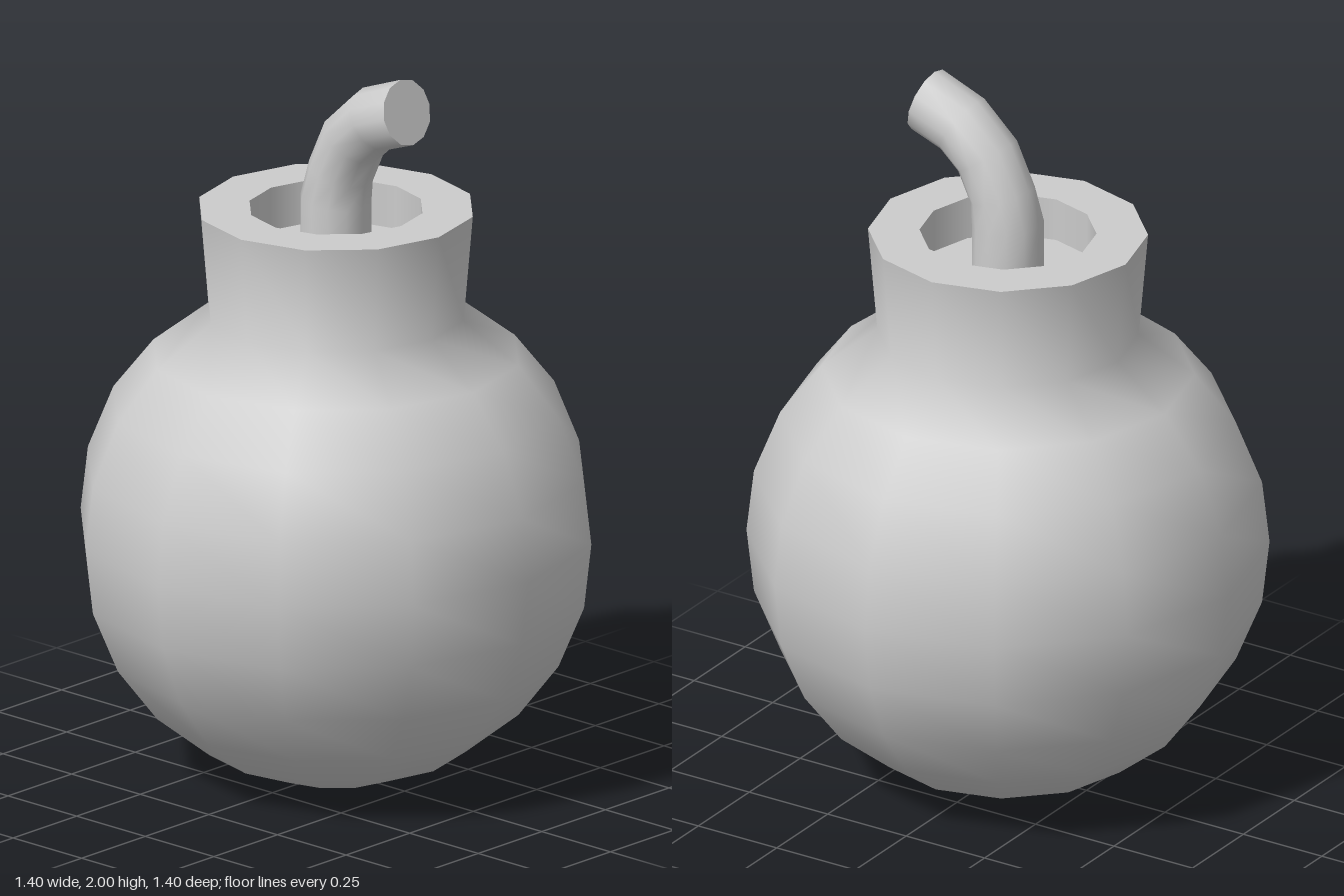
import * as THREE from 'three';

const SIDES = 12;
const material = new THREE.MeshStandardMaterial({ color: 0xcccccc });

function lathe(name, profile) {
  const points = profile.map(([r, y]) => new THREE.Vector2(r, y));
  const mesh = new THREE.Mesh(new THREE.LatheGeometry(points, SIDES), material);
  mesh.name = name;
  return mesh;
}

// Bent fuse: rings of [z, y, lean towards +z, radius], joined smoothly
function createFuse() {
  const rings = [
    [0, 1.46, 0, 0.097],
    [0, 1.615, 0.1, 0.097],
    [0.018, 1.697, 0.3, 0.09],
    [0.065, 1.798, 0.6, 0.09],
    [0.145, 1.872, 1.02, 0.09],
    [0.258, 1.915, 1.31, 0.09],
  ];
  const positions = [], index = [];
  rings.forEach(([z, y, lean, r], i) => {
    for (let j = 0; j < SIDES; j++) {
      const a = (j / SIDES) * Math.PI * 2;
      const across = Math.cos(a) * r;
      positions.push(Math.sin(a) * r, y - across * Math.sin(lean), z + across * Math.cos(lean));
      if (i === 0) continue;
      const k = (j + 1) % SIDES, lo = (i - 1) * SIDES, hi = i * SIDES;
      index.push(lo + j, lo + k, hi + k, lo + j, hi + k, hi + j);
    }
  });
  const geometry = new THREE.BufferGeometry();
  geometry.setAttribute('position', new THREE.Float32BufferAttribute(positions, 3));
  geometry.setIndex(index);
  geometry.computeVertexNormals();

  const fuse = new THREE.Group();
  fuse.name = 'fuse';
  const cord = new THREE.Mesh(geometry, material);
  cord.name = 'fuseCord';

  // Flat cut end, turned to face along the fuse
  const [z, y, lean, r] = rings[rings.length - 1];
  const end = new THREE.Mesh(new THREE.CircleGeometry(r, SIDES), material);
  end.name = 'fuseEnd';
  end.position.set(0, y, z);
  end.rotation.x = lean - Math.PI / 2;
  fuse.add(cord, end);
  return fuse;
}

export function createModel() {
  const model = new THREE.Group();
  model.name = 'roundBomb';

  // Round shell running smoothly into the flared collar
  model.add(lathe('shellAndCollar', [
    [0, 0], [0.18, 0.01], [0.355, 0.08], [0.5, 0.195], [0.61, 0.34], [0.68, 0.51],
    [0.7, 0.69], [0.68, 0.865], [0.61, 1.04], [0.5, 1.18], [0.35, 1.295], [0.375, 1.59],
  ]));

  // Collar top and the shallow socket, split to keep their edges sharp
  model.add(lathe('collarRim', [[0.375, 1.59], [0.237, 1.59]]));
  model.add(lathe('socketWall', [[0.237, 1.59], [0.237, 1.47]]));
  model.add(lathe('socketFloor', [[0.237, 1.47], [0, 1.47]]));

  model.add(createFuse());
  return model;
}
